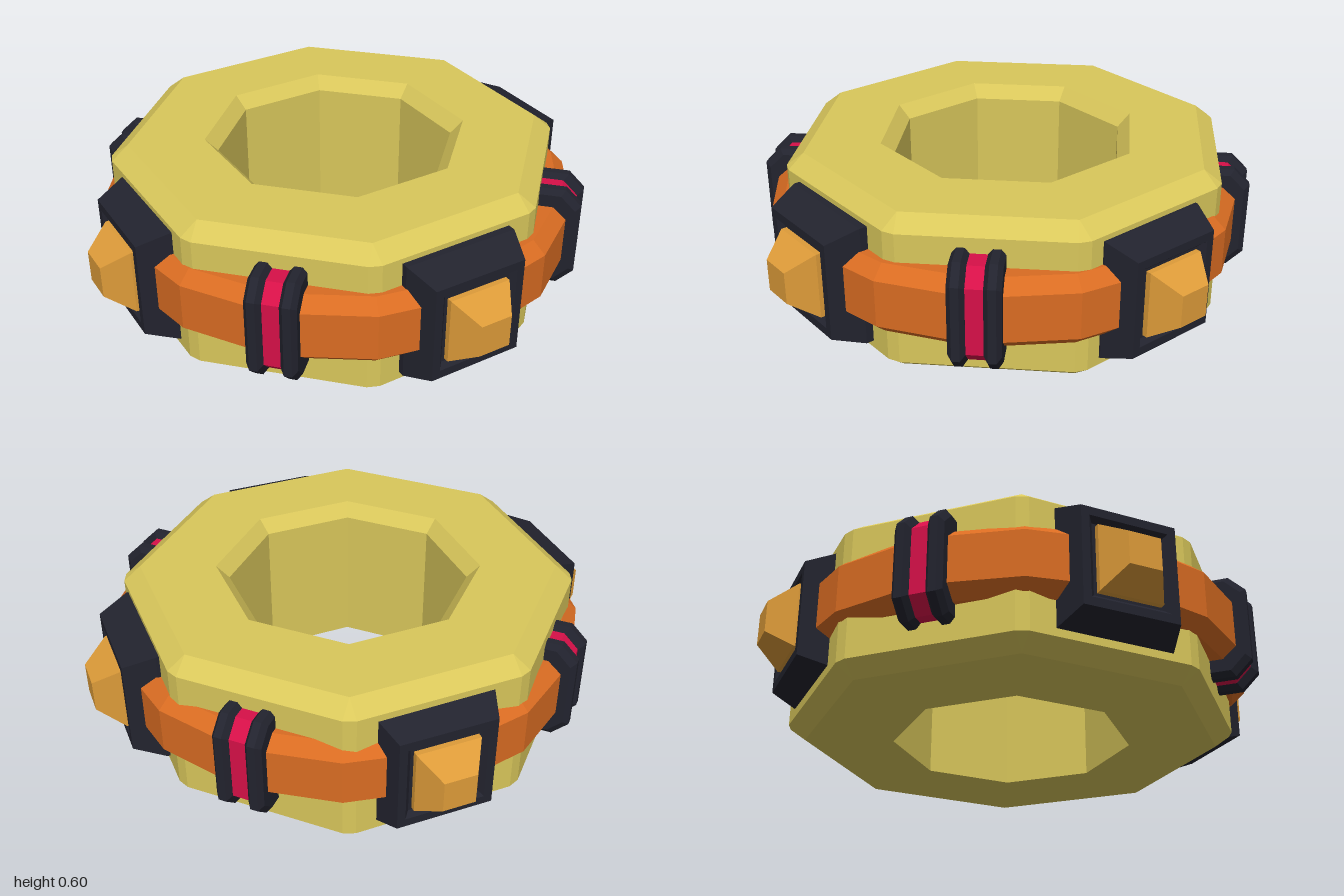
import * as THREE from 'three';

const paint = (name, color) => {
  const m = new THREE.MeshStandardMaterial({ color });
  m.name = name;
  return m;
};

// Skins a list of equal-length point loops; unshared corners give flat facets.
function loft(rings, closed = false) {
  const pos = [];
  const tri = (a, b, c) => {
    const n = b.clone().sub(a).cross(c.clone().sub(a));
    if (n.length() > 1e-9) [a, b, c].forEach(p => pos.push(p.x, p.y, p.z));
  };
  const last = closed ? rings.length : rings.length - 1;
  for (let i = 0; i < last; i++) {
    const r = rings[i], s = rings[(i + 1) % rings.length];
    for (let j = 0; j < r.length; j++) {
      const k = (j + 1) % r.length;
      tri(r[j], r[k], s[k]);
      tri(r[j], s[k], s[j]);
    }
  }
  const g = new THREE.BufferGeometry();
  g.setAttribute('position', new THREE.Float32BufferAttribute(pos, 3));
  g.computeVertexNormals();
  return g;
}

// Octagon loop by apothem, each corner cut back by the given length.
function octagon(apothem, y, cut = 0) {
  const pts = [], half = apothem * Math.tan(Math.PI / 8) - cut;
  for (let i = 0; i < 8; i++) {
    const a = i * Math.PI / 4;
    for (const t of [-half, half]) {
      pts.push(new THREE.Vector3(
        apothem * Math.cos(a) - t * Math.sin(a), y,
        apothem * Math.sin(a) + t * Math.cos(a)));
    }
  }
  return pts;
}

// Regular loop around the vertical axis.
function circle(radius, y, sides) {
  return Array.from({ length: sides }, (_, i) => {
    const a = i * 2 * Math.PI / sides;
    return new THREE.Vector3(radius * Math.cos(a), y, radius * Math.sin(a));
  });
}

// Rectangle loop facing +z with optional cut corners.
function rect(w, h, z, cut = 0) {
  return [[w, -h + cut], [w, h - cut], [w - cut, h], [-w + cut, h],
    [-w, h - cut], [-w, -h + cut], [-w + cut, -h], [w - cut, -h]]
    .map(([x, y]) => new THREE.Vector3(x, y, z));
}

export function createModel() {
  const yellow = paint('pale yellow', 0xd9c75b);
  const orange = paint('orange', 0xd96c22);
  const dark = paint('dark slate', 0x22232e);
  const gold = paint('gold', 0xdd9b39);
  const crimson = paint('crimson', 0xd61048);

  const model = new THREE.Group();
  model.name = 'octagonalRing';
  const add = (parent, name, geometry, material) => {
    const m = new THREE.Mesh(geometry, material);
    m.name = name;
    parent.add(m);
    return m;
  };

  // Thick octagonal body with chamfered rims and cut vertical corners
  const body = add(model, 'body', loft([
    octagon(0.413, 0.55), octagon(0.457, 0.6), octagon(0.72, 0.6),
    octagon(0.785, 0.55, 0.025), octagon(0.785, 0.05, 0.025),
    octagon(0.72, 0), octagon(0.413, 0),
  ], true), yellow);
  body.position.set(-0.004, 0, -0.021);
  body.rotation.y = 0.012;

  // Chamfered band around the body
  add(model, 'band', loft([
    [0.74, 0.445], [0.84, 0.445], [0.89, 0.4],
    [0.89, 0.225], [0.84, 0.18], [0.74, 0.18],
  ].map(([r, y]) => circle(r, y, 16)), true), orange);

  // Square mounts with a shallow recess, and the blunt studs they hold
  const mountGeo = loft([
    rect(0.218, 0.226, 0.68), rect(0.218, 0.226, 0.79), rect(0.178, 0.184, 0.905),
    rect(0.148, 0.152, 0.905), rect(0.13, 0.134, 0.885), rect(0, 0, 0.885),
  ]);
  const studGeo = loft([
    rect(0.118, 0.124, 0.87), rect(0.118, 0.124, 0.905),
    rect(0.06, 0.06, 1), rect(0, 0, 1),
  ]);

  // Clasps: two bevelled dark plates on either side of a crimson strip
  const plateGeo = loft([
    rect(0, 0, -0.03), rect(0.1, 0.18, -0.03, 0.055), rect(0.12, 0.2, -0.014, 0.06),
    rect(0.12, 0.2, 0.014, 0.06), rect(0.1, 0.18, 0.03, 0.055), rect(0, 0, 0.03),
  ]);
  const stripGeo = loft([rect(0.098, 0.18, -0.045, 0.055), rect(0.098, 0.18, 0.045, 0.055)]);

  for (let i = 0; i < 4; i++) {
    const mount = new THREE.Group();
    mount.name = 'studMount';
    mount.position.y = 0.305;
    mount.rotation.y = i * Math.PI / 2;
    add(mount, 'mount', mountGeo, dark);
    add(mount, 'stud', studGeo, gold);
    model.add(mount);

    const clasp = new THREE.Group();
    clasp.name = 'clasp';
    clasp.position.y = 0.313;
    clasp.rotation.y = Math.PI / 4 + i * Math.PI / 2;
    for (const side of [-1, 1]) {
      add(clasp, 'claspPlate', plateGeo, dark).position.set(0.802, 0, side * 0.06);
    }
    add(clasp, 'claspStrip', stripGeo, crimson).position.x = 0.802;
    model.add(clasp);
  }
  return model;
}
